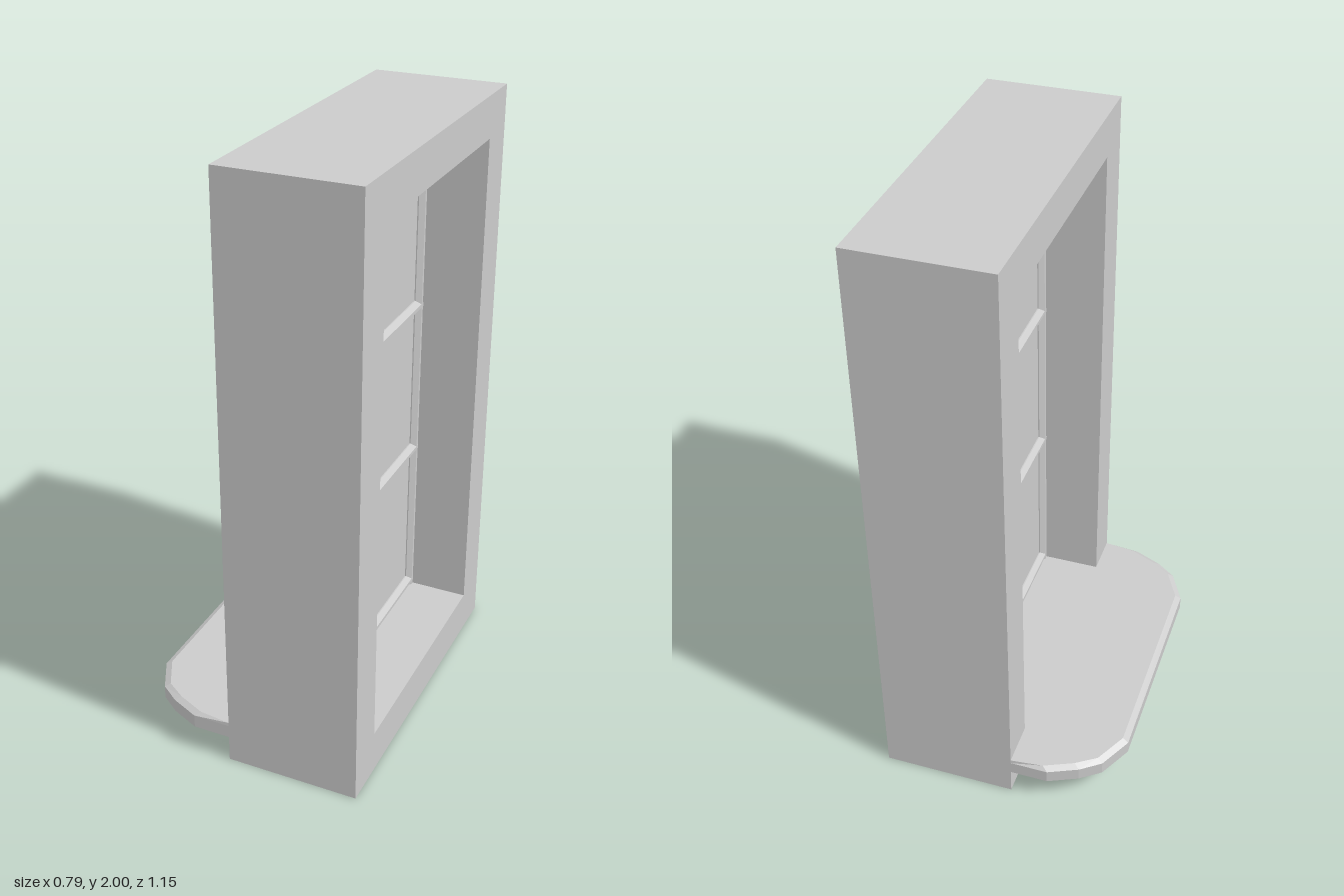
import * as THREE from 'three';

const material = new THREE.MeshStandardMaterial({ color: 0xcccccc, flatShading: true });

const WALL_BACK = -0.05, WALL_DEPTH = 0.447;
const HALF_W = 0.574, OPEN_W = 0.427, OPEN_BOTTOM = 0.147, OPEN_TOP = 1.86;
const WINDOW_X = 0.174;

function addMesh(parent, name, geometry) {
  const mesh = new THREE.Mesh(geometry, material);
  mesh.name = name;
  parent.add(mesh);
  return mesh;
}

function rectPoints(w, y0, y1) {
  return [[-w, y0], [w, y0], [w, y1], [-w, y1]].map(([x, y]) => new THREE.Vector2(x, y));
}

// Thick wall block with a rectangular window opening
function wallGeometry() {
  const shape = new THREE.Shape(rectPoints(HALF_W, 0, 2));
  shape.holes.push(new THREE.Path(rectPoints(OPEN_W, OPEN_BOTTOM, OPEN_TOP).reverse()));
  return new THREE.ExtrudeGeometry(shape, { depth: WALL_DEPTH, bevelEnabled: false })
    .rotateY(Math.PI / 2)
    .translate(WALL_BACK, 0, 0);
}

// Glazing bar with sloped sides, running along z
function barGeometry(length) {
  const half = [[-0.027, 0.006], [-0.01, 0.021], [0.01, 0.021], [0.027, 0.006]];
  const profile = [...half, ...half.map(([x, y]) => [x, -y]).reverse()];
  const shape = new THREE.Shape(profile.map(([x, y]) => new THREE.Vector2(x, y)));
  return new THREE.ExtrudeGeometry(shape, { depth: length, bevelEnabled: false })
    .translate(0, 0, -length / 2);
}

// Rounded sill: bottom, rim and bevelled top outlines joined by side faces
function sillGeometry() {
  const mirror = (pts) => [...pts, ...pts.map(([x, z]) => [x, -z]).reverse()];
  const outer = mirror([[-0.05, -0.574], [-0.176, -0.574], [-0.273, -0.531], [-0.34, -0.482], [-0.398, -0.37]]);
  const inner = mirror([[-0.05, -0.573], [-0.158, -0.561], [-0.255, -0.518], [-0.322, -0.473], [-0.378, -0.365]]);
  const ring = (pts, y) => pts.map(([x, z]) => [x, y, z]);
  const rings = [ring(outer, 0.09), ring(outer, 0.135), ring(inner, OPEN_BOTTOM)];
  const n = outer.length;
  const verts = [];
  const tri = (a, b, c) => verts.push(...a, ...b, ...c);
  for (let r = 0; r < 2; r++) {
    for (let i = 0; i < n; i++) {
      const j = (i + 1) % n;
      tri(rings[r][i], rings[r][j], rings[r + 1][j]);
      tri(rings[r][i], rings[r + 1][j], rings[r + 1][i]);
    }
  }
  for (let i = 1; i < n - 1; i++) {
    tri(rings[2][0], rings[2][i], rings[2][i + 1]);
    tri(rings[0][0], rings[0][i + 1], rings[0][i]);
  }
  const geometry = new THREE.BufferGeometry();
  geometry.setAttribute('position', new THREE.Float32BufferAttribute(verts, 3));
  geometry.computeVertexNormals();
  return geometry;
}

export function createModel() {
  const model = new THREE.Group();
  model.name = 'windowWall';

  addMesh(model, 'wall', wallGeometry());
  addMesh(model, 'sill', sillGeometry());

  const sash = new THREE.Group();
  sash.name = 'windowSash';
  sash.position.x = WINDOW_X;
  model.add(sash);

  // Glass and thin outer frame filling the opening
  const height = OPEN_TOP - OPEN_BOTTOM, midY = (OPEN_TOP + OPEN_BOTTOM) / 2;
  addMesh(sash, 'glass', new THREE.BoxGeometry(0.012, height, OPEN_W * 2)).position.y = midY;

  // Vertical bars
  for (const z of [-0.407, 0, 0.407]) {
    const bar = addMesh(sash, 'verticalBar', barGeometry(height - 0.02).rotateX(-Math.PI / 2));
    bar.position.set(0, midY, z);
  }
  // Horizontal bars
  for (const y of [0.176, 0.731, 1.272, 1.827]) {
    addMesh(sash, 'horizontalBar', barGeometry(OPEN_W * 2 - 0.02)).position.y = y;
  }
  return model;
}
